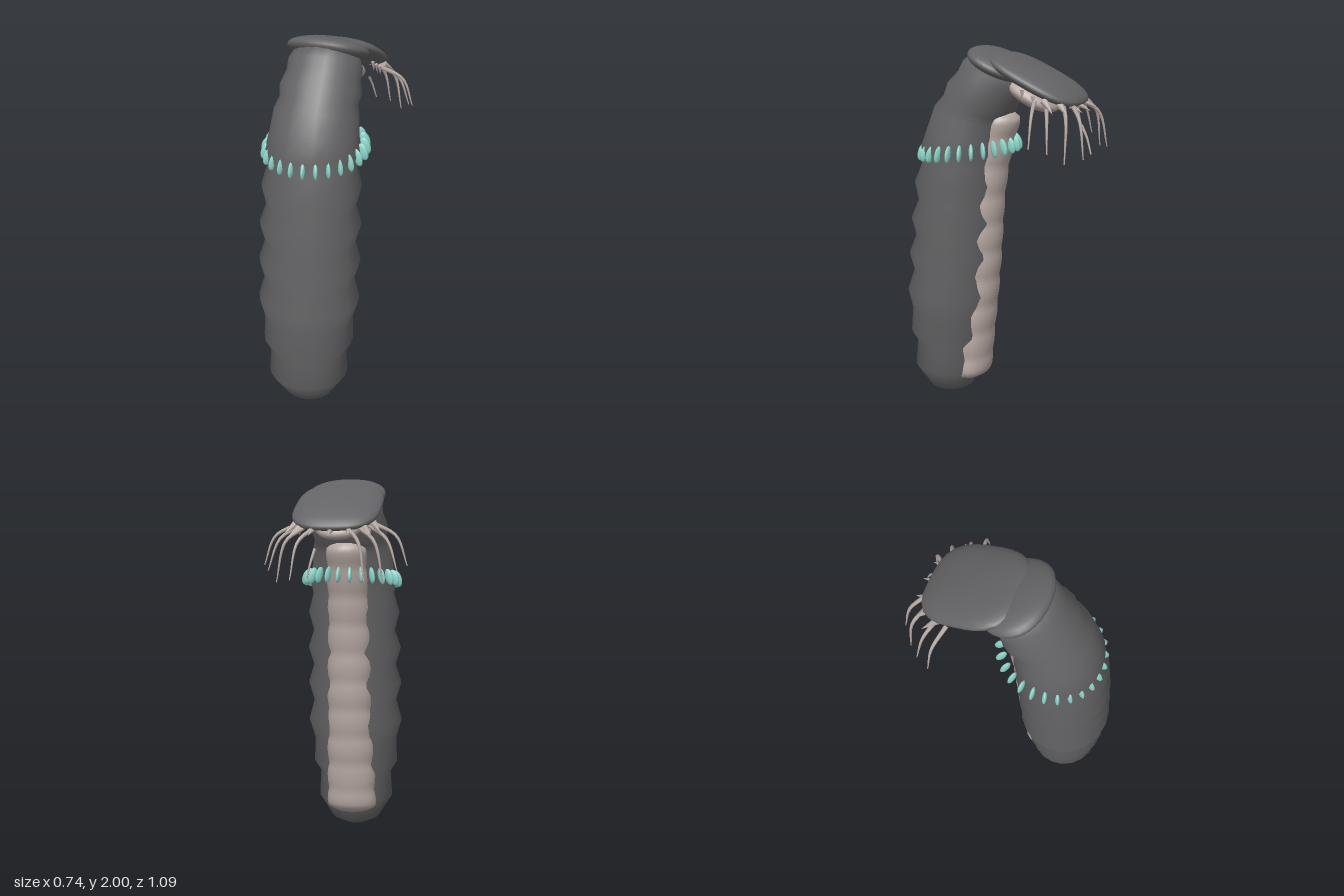
import * as THREE from 'three';
import { mergeVertices } from 'three/addons/utils/BufferGeometryUtils.js';

const mat = (name, color) => {
  const m = new THREE.MeshStandardMaterial({ color });
  m.name = name;
  return m;
};

// Smooth closed skin through elliptical sections [y, z, rx, rz, tilt]
function loft(sections, sides) {
  const pos = [], idx = [];
  for (const [y, z, rx, rz, tilt = 0] of sections) {
    for (let j = 0; j < sides; j++) {
      const a = (j / sides) * Math.PI * 2, d = Math.sin(a) * rz;
      pos.push(Math.cos(a) * rx, y + d * Math.sin(tilt), z + d * Math.cos(tilt));
    }
  }
  for (let i = 0; i < sections.length - 1; i++) {
    for (let j = 0; j < sides; j++) {
      const k = (j + 1) % sides, a = i * sides, b = a + sides;
      idx.push(a + j, b + j, a + k, b + j, b + k, a + k);
    }
  }
  const g = new THREE.BufferGeometry();
  g.setAttribute('position', new THREE.Float32BufferAttribute(pos, 3));
  g.setIndex(idx);
  g.computeVertexNormals();
  return g;
}

// Flattened cushion whose outline is a superellipse of power p
function cushion(rx, ry, rz, p) {
  let g = new THREE.SphereGeometry(1, 32, 16);
  g.deleteAttribute('uv');
  g.deleteAttribute('normal');
  g = mergeVertices(g);
  const q = g.attributes.position;
  for (let i = 0; i < q.count; i++) {
    const x = q.getX(i), z = q.getZ(i), r = Math.hypot(x, z);
    const k = r < 1e-4 ? 1 : 1 / Math.pow(Math.abs(x / r) ** p + Math.abs(z / r) ** p, 1 / p);
    q.setXYZ(i, x * k * rx, q.getY(i) * ry, z * k * rz);
  }
  g.computeVertexNormals();
  return g;
}

// Thin tube narrowing toward its tip
function feeler(points, r0, r1) {
  const curve = new THREE.CatmullRomCurve3(points.map(p => new THREE.Vector3(...p)));
  const n = 10, sides = 6, g = new THREE.TubeGeometry(curve, n, 1, sides);
  const q = g.attributes.position, v = new THREE.Vector3();
  for (let i = 0; i < q.count; i++) {
    const t = Math.floor(i / (sides + 1)) / n, c = curve.getPointAt(t);
    v.fromBufferAttribute(q, i).sub(c).multiplyScalar(r0 + (r1 - r0) * t).add(c);
    q.setXYZ(i, v.x, v.y, v.z);
  }
  return g;
}

export function createModel() {
  const root = new THREE.Group();
  const shell = mat('dark grey shell', 0x636365);
  const flesh = mat('pale tan flesh', 0xb5a7a1);
  const teal = mat('teal spines', 0x8ad6ca);
  const add = (name, geo, m, parent = root) => {
    const mesh = new THREE.Mesh(geo, m);
    mesh.name = name;
    parent.add(mesh);
    return mesh;
  };

  // Ringed body: y, z, radius, tilt
  const rings = [
    [0, .3, .001], [.012, .3, .05], [.05, .3, .135], [.18, .302, .217], [.33, .295, .208],
    [.39, .292, .245], [.53, .285, .24], [.645, .275, .272], [.76, .268, .24],
    [.865, .26, .27], [.97, .252, .238], [1.07, .245, .267], [1.17, .235, .234],
    [1.275, .226, .26], [1.38, .212, .23], [1.46, .2, .245, .06], [1.54, .183, .228, .14],
    [1.645, .15, .217, .22], [1.69, .118, .2, .3], [1.74, .088, .21, .4],
    [1.8, .05, .19, .44], [1.855, .02, .19, .46], [1.91, -.01, .16, .46], [1.92, -.015, .001, .46],
  ];
  add('body', loft(rings.map(([y, z, r, t]) => [y, z + r * .07, r, r * .93, t]), 20), shell);

  // Soft lobed strip along the back: y, rearmost z
  const path = new THREE.CatmullRomCurve3([
    [.1, .09], [.2, .065], [.35, .052], [.5, .035], [.65, .02], [.85, .003], [1.05, -.01],
    [1.2, -.022], [1.35, -.042], [1.5, -.075], [1.62, -.108], [1.69, -.11],
  ].map(([y, z]) => new THREE.Vector3(0, y, z)));
  const strip = [];
  for (let i = 0; i <= 60; i++) {
    const t = i / 60, p = path.getPointAt(t);
    const end = Math.sqrt(Math.min(1, Math.min(t, 1 - t) / .035 + 1e-4));
    const lobe = .93 + .07 * Math.abs(Math.sin(t * Math.PI * 10));
    const narrow = 1 - .25 * t;
    strip.push([p.y, p.z + .1, .145 * narrow * lobe * end, .1 * lobe * end]);
  }
  add('bellyStrip', loft(strip, 20), flesh);

  // Head: rear collar, broad shield and soft underside
  const collar = add('headCollar', cushion(.21, .058, .17, 2.2), shell);
  collar.position.set(0, 1.915, -.005);
  collar.rotation.x = -.42;
  const shield = add('headShield', cushion(.225, .055, .265, 3), shell);
  shield.position.set(0, 1.85, -.22);
  shield.rotation.x = -.44;
  const under = add('headUnderside', cushion(.13, .055, .15, 2.2), flesh);
  under.position.set(0, 1.765, -.19);
  under.rotation.x = -.47;

  // Feelers, mirrored
  const arcs = [
    [[.2, 1.76, -.28], [.31, 1.7, -.31], [.365, 1.555, -.32]],
    [[.18, 1.75, -.335], [.27, 1.685, -.375], [.325, 1.53, -.4]],
    [[.14, 1.74, -.41], [.22, 1.675, -.455], [.265, 1.475, -.468]],
    [[.09, 1.735, -.44], [.15, 1.67, -.5], [.182, 1.49, -.535]],
  ];
  for (const s of [1, -1]) {
    for (const arc of arcs) {
      add('feeler', feeler(arc.map(([x, y, z]) => [x * s, y, z]), .012, .003), flesh);
    }
  }
  add('looseFeeler', feeler([[.068, 1.64, -.48], [.08, 1.58, -.515], [.095, 1.5, -.544]], .008, .004), flesh);

  // Short teeth around the shield rim: base, then tip
  const up = new THREE.Vector3(0, 1, 0);
  const tooth = (base, tip, r) => {
    const a = new THREE.Vector3(...base), d = new THREE.Vector3(...tip).sub(a);
    const m = add('rimTooth', new THREE.ConeGeometry(r, d.length(), 8), flesh);
    m.position.copy(a).addScaledVector(d, .5);
    m.quaternion.setFromUnitVectors(up, d.normalize());
  };
  tooth([0, 1.735, -.43], [0, 1.7, -.505], .016);
  for (const s of [1, -1]) {
    tooth([s * .09, 1.735, -.43], [s * .097, 1.705, -.495], .016);
    tooth([s * .16, 1.745, -.4], [s * .205, 1.7, -.455], .02);
    tooth([s * .195, 1.765, -.33], [s * .245, 1.71, -.395], .02);
    for (let i = 0; i < 3; i++) {
      const z = -.2 - i * .06, y = 1.81 + (z + .2) * .47;
      tooth([s * .175, y, z], [s * .18, y - .055, z - .01], .01);
    }
  }

  // Collar of leaf-shaped spines
  const collarSpines = new THREE.Group();
  collarSpines.name = 'spineCollar';
  root.add(collarSpines);
  const leaf = new THREE.SphereGeometry(1, 8, 8);
  leaf.scale(.012, .046, .026);
  const count = 26;
  for (let i = 0; i < count; i++) {
    const a = ((i + .5) / count) * Math.PI * 2;
    const z = .18 + Math.cos(a) * .258;
    const spine = add('spine', leaf, teal, collarSpines);
    spine.position.set(Math.sin(a) * .252, 1.487 - z * .125, z);
    spine.rotation.set(-.35, a, 0, 'YXZ');
  }
  return root;
}
